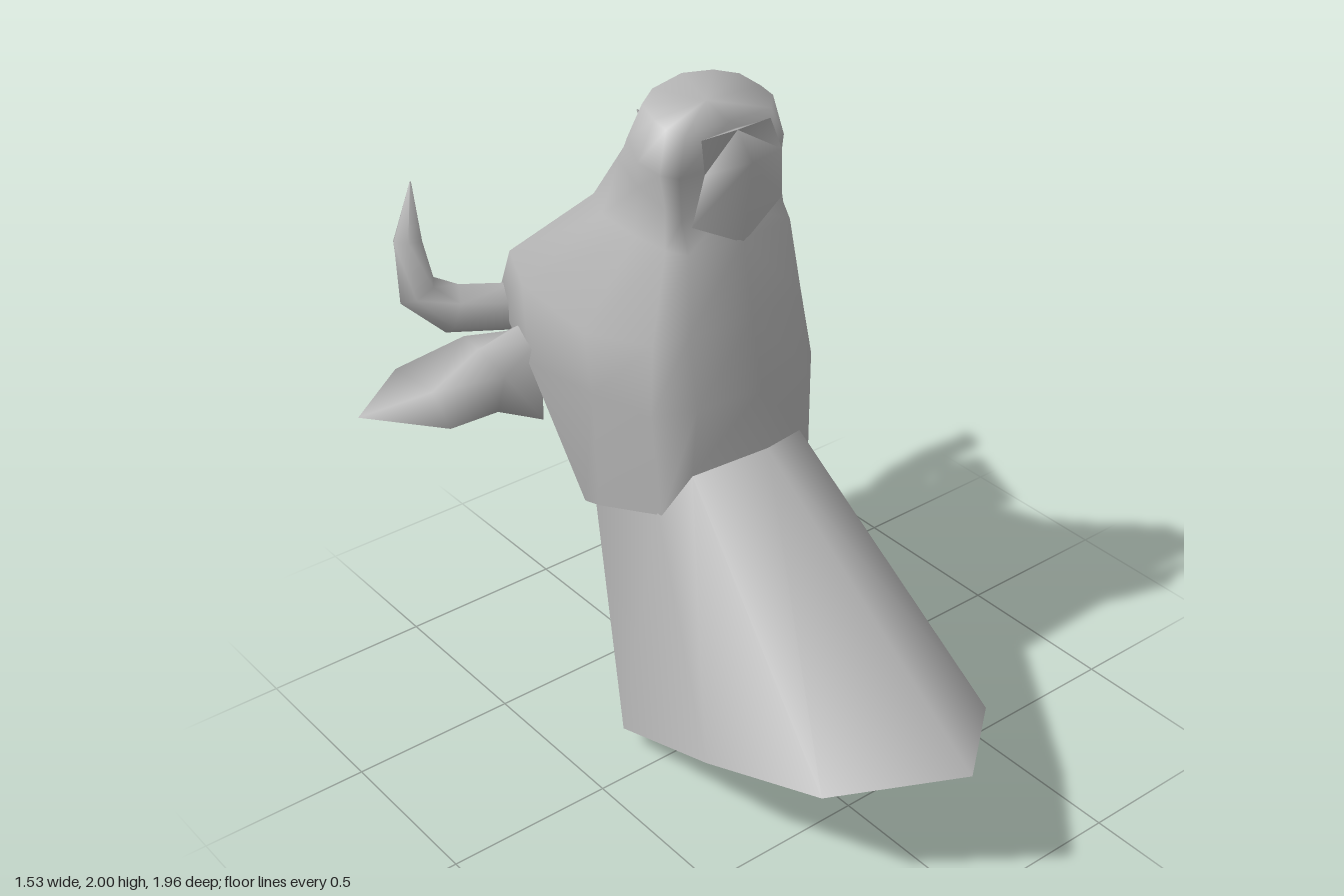
import * as THREE from 'three';

const hide = new THREE.MeshStandardMaterial({ color: 0xb8b8b8, side: THREE.DoubleSide });
hide.name = 'plain grey';

// Skin through cross-sections of equal point count; flip for mirrored parts
function loft(name, rings, { flip = false, cap = false } = {}) {
  const n = rings[0].length, index = [];
  const tri = (a, b, c) => (flip ? index.push(a, c, b) : index.push(a, b, c));
  for (let i = 0; i < rings.length - 1; i++) {
    for (let j = 0; j < n; j++) {
      const k = (j + 1) % n;
      const a = i * n + j, b = i * n + k, c = a + n, d = b + n;
      // diagonals mirror between the two halves of the ring
      if (j < n / 2) {
        tri(a, b, c);
        tri(b, d, c);
      } else {
        tri(a, b, d);
        tri(a, d, c);
      }
    }
  }
  const points = rings.flat();
  if (cap) {
    // end face shares its rim, so it shades as a rounded end
    const end = rings[rings.length - 1];
    const first = points.length - n, centre = points.length;
    points.push([0, 1, 2].map((axis) => end.reduce((sum, p) => sum + p[axis], 0) / n));
    for (let j = 0; j < n; j++) tri(first + j, first + ((j + 1) % n), centre);
  }
  const g = new THREE.BufferGeometry();
  g.setAttribute('position', new THREE.Float32BufferAttribute(points.flat(), 3));
  g.setIndex(index);
  g.computeVertexNormals();
  const mesh = new THREE.Mesh(g, hide);
  mesh.name = name;
  return mesh;
}

// Full ring from its +x half, listed front centre to back centre
const mirrorRing = (half) => [
  ...half,
  ...half.slice(1, -1).reverse().map(([x, y, z]) => [-x, y, z]),
];

function makeNeck() {
  return loft('neck', [
    [[0, 0.43, 0.98], [0.3, 0.35, 0.73], [0.41, 0.3, 0.38], [0.34, 0.08, -0.1], [0, 0, -0.45]],
    [[0, 1.03, 0.135], [0.19, 0.97, 0.05], [0.26, 0.86, -0.02], [0.21, 0.74, -0.39], [0, 0.7, -0.625]],
  ].map(mirrorRing));
}

function makeHead() {
  return loft('head', [
    // jaw rim, cheeks, brow
    [[0, 1.03, 0.14], [0.19, 0.97, 0.05], [0.262, 0.85, 0.005], [0.27, 0.74, -0.28], [0.235, 0.68, -0.4], [0.13, 0.74, -0.68], [0, 0.74, -0.69]],
    [[0, 1.2, 0.113], [0.19, 1.19, 0.075], [0.28, 1.16, -0.01], [0.335, 1.17, -0.2], [0.325, 1.12, -0.52], [0.19, 1.13, -0.875], [0, 1.13, -0.88]],
    [[0, 1.4, 0.075], [0.19, 1.4, 0.045], [0.255, 1.36, -0.03], [0.32, 1.33, -0.25], [0.3, 1.34, -0.57], [0.235, 1.36, -0.725], [0, 1.37, -0.725]],
    // bridge of the nose
    [[0, 1.62, 0.035], [0.17, 1.62, 0.02], [0.2, 1.62, -0.04], [0.21, 1.62, -0.16], [0.19, 1.61, -0.33], [0.13, 1.61, -0.45], [0, 1.62, -0.48]],
    // muzzle
    [[0, 1.7, -0.02], [0.16, 1.7, -0.02], [0.19, 1.73, -0.05], [0.2, 1.76, -0.15], [0.18, 1.79, -0.26], [0.11, 1.8, -0.32], [0, 1.8, -0.33]],
    [[0, 1.82, -0.02], [0.165, 1.82, -0.02], [0.205, 1.83, -0.05], [0.215, 1.84, -0.13], [0.18, 1.87, -0.22], [0.11, 1.89, -0.27], [0, 1.9, -0.28]],
    [[0, 1.93, -0.025], [0.14, 1.93, -0.025], [0.175, 1.945, -0.06], [0.175, 1.955, -0.11], [0.16, 1.97, -0.18], [0.1, 1.985, -0.215], [0, 2, -0.22]],
  ].map(mirrorRing), { cap: true });
}

function makeLowerLip() {
  return loft('lowerLip', [
    [[0, 1.61, 0.035], [0.15, 1.69, 0.01], [0, 1.69, -0.02]],
    [[0, 1.85, 0.07], [0.127, 1.84, 0.035], [0, 1.84, -0.01]],
    [[0, 1.92, 0.01], [0.113, 1.92, 0.005], [0, 1.92, -0.002]],
  ].map(mirrorRing), { cap: true });
}

// Ear rings run top, front, bottom, lower back, upper back
function makeEar(side) {
  const rings = [
    [[0.27, 1.18, -0.63], [0.3, 1.19, -0.5], [0.26, 0.88, -0.57], [0.24, 0.92, -0.74], [0.26, 1.1, -0.74]],
    [[0.42, 1.14, -0.64], [0.41, 1.1, -0.525], [0.4, 0.95, -0.59], [0.4, 0.98, -0.7], [0.41, 1.14, -0.73]],
    [[0.58, 1.06, -0.64], [0.63, 1.04, -0.47], [0.57, 0.975, -0.62], [0.58, 0.99, -0.7], [0.6, 1.07, -0.8]],
    Array(5).fill([0.765, 1.0, -0.74]),
  ].map((r) => r.map(([x, y, z]) => [side * x, y, z]));
  return loft(side > 0 ? 'leftEar' : 'rightEar', rings, { flip: side < 0 });
}

// Horn: six-sided tapering sweep along a bent path
function makeHorn(side) {
  const path = [[0.2, 1.14, -0.79], [0.37, 1.165, -0.85], [0.46, 1.24, -0.885], [0.465, 1.39, -0.905], [0.4, 1.53, -0.975]]
    .map((p) => new THREE.Vector3(...p));
  const radii = [0.075, 0.075, 0.062, 0.046, 0.002];
  const rings = path.map((p, i) => {
    const d = path[Math.min(i + 1, 4)].clone().sub(path[Math.max(i - 1, 0)]).normalize();
    const u = new THREE.Vector3().crossVectors(d, new THREE.Vector3(0, 0, 1)).normalize();
    const v = new THREE.Vector3().crossVectors(d, u);
    return Array.from({ length: 6 }, (_, j) => {
      const a = (j / 6) * Math.PI * 2;
      const q = p.clone()
        .addScaledVector(u, radii[i] * Math.cos(a))
        .addScaledVector(v, radii[i] * Math.sin(a));
      return [side * q.x, q.y, q.z];
    });
  });
  return loft(side > 0 ? 'leftHorn' : 'rightHorn', rings, { flip: side < 0 });
}

export function createModel() {
  const model = new THREE.Group();
  model.name = 'hornedHead';
  const body = [makeNeck(), makeHead(), makeLowerLip()];
  body.forEach((m) => { m.position.x = -0.008; });
  model.add(...body);
  for (const side of [1, -1]) model.add(makeEar(side), makeHorn(side));
  return model;
}
